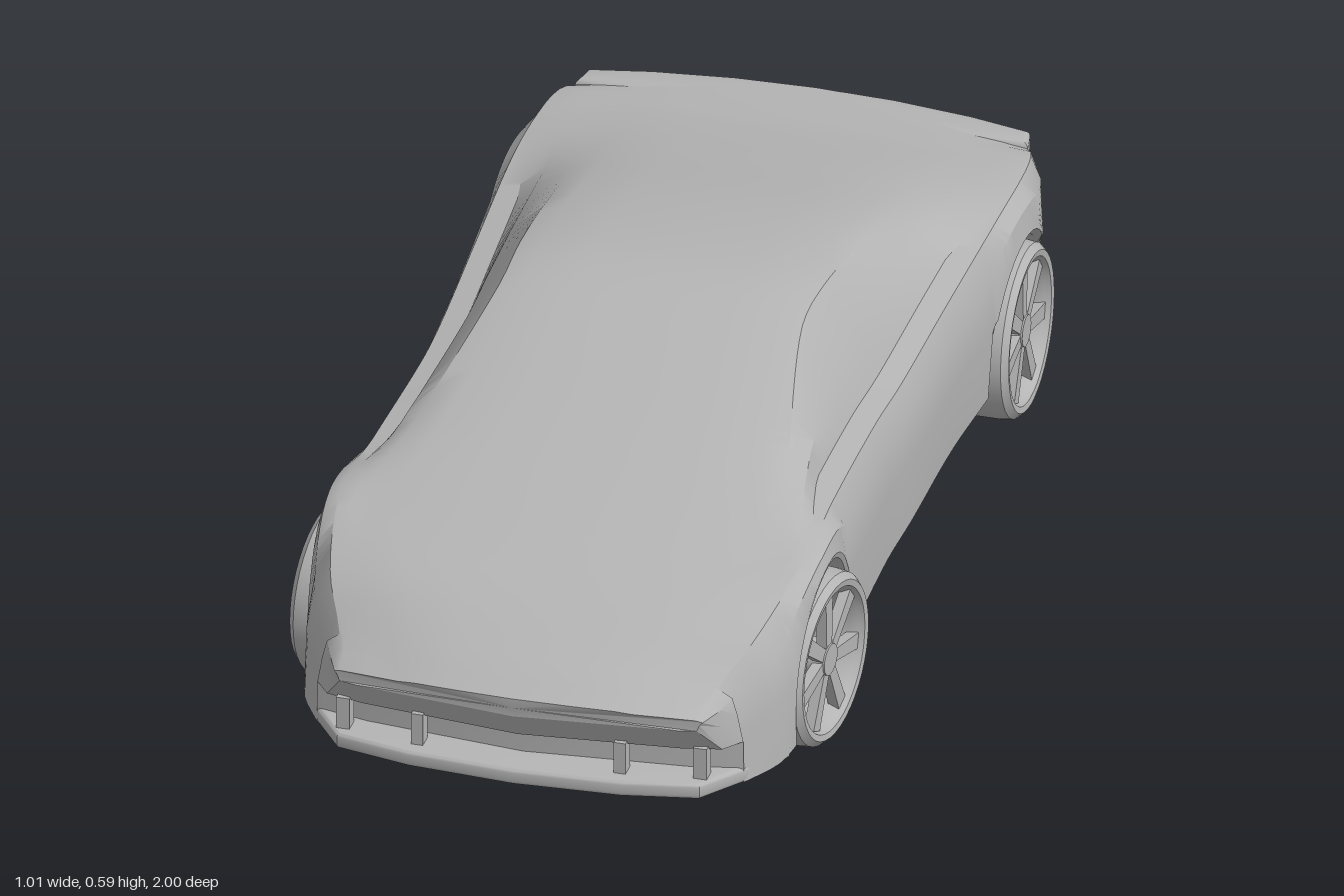
import * as THREE from 'three';
import { toCreasedNormals } from 'three/addons/utils/BufferGeometryUtils.js';

const grey = new THREE.MeshStandardMaterial({ color: 0xb4b4b4 });
grey.name = 'body grey';

const AXLES = [0.56, -0.665], WHEEL_R = 0.165, ARCH_R = 0.178, ARCH_Y = 0.168;

// z, floor y, sill x, side x, shoulder x, shoulder y, roof edge x, roof edge y, centre top y
const STATIONS = [
  [-0.965, 0.20, 0.40, 0.425, 0.42, 0.405, 0.34, 0.415, 0.42],
  [-0.90, 0.175, 0.43, 0.45, 0.435, 0.415, 0.33, 0.42, 0.425],
  [-0.80, 0.145, 0.465, 0.48, 0.45, 0.425, 0.32, 0.432, 0.438],
  [-0.60, 0.13, 0.475, 0.485, 0.452, 0.43, 0.305, 0.468, 0.485],
  [-0.30, 0.12, 0.455, 0.465, 0.44, 0.41, 0.295, 0.535, 0.56],
  [-0.05, 0.11, 0.45, 0.455, 0.43, 0.39, 0.285, 0.573, 0.593],
  [0.10, 0.105, 0.445, 0.45, 0.425, 0.39, 0.285, 0.56, 0.575],
  [0.40, 0.10, 0.455, 0.46, 0.43, 0.395, 0.345, 0.455, 0.475],
  [0.60, 0.09, 0.465, 0.468, 0.437, 0.39, 0.38, 0.395, 0.40],
  [0.80, 0.075, 0.45, 0.445, 0.40, 0.325, 0.30, 0.34, 0.348],
  [0.93, 0.07, 0.40, 0.39, 0.355, 0.265, 0.25, 0.28, 0.29],
  [1.00, 0.07, 0.335, 0.34, 0.335, 0.232, 0.22, 0.24, 0.247],
];

// Smooth interpolation of the station table
function stationAt(z) {
  const S = STATIONS, n = S.length;
  let i = 0;
  while (i < n - 2 && z > S[i + 1][0]) i++;
  const slope = (k, c) => {
    const a = S[Math.max(0, k - 1)], b = S[Math.min(n - 1, k + 1)];
    return (b[c] - a[c]) / (b[0] - a[0]);
  };
  const h = S[i + 1][0] - S[i][0], t = (z - S[i][0]) / h, t2 = t * t, t3 = t2 * t;
  return S[i].map((v, c) => (2 * t3 - 3 * t2 + 1) * v + (t3 - 2 * t2 + t) * h * slope(i, c)
    + (3 * t2 - 2 * t3) * S[i + 1][c] + (t3 - t2) * h * slope(i + 1, c));
}

// Closed cross-section, counter-clockwise seen from the front
function section(z) {
  let [, yb, xB, xM, xs, ys, xr, yr, yt] = stationAt(z);
  if (z > 0.93) yb = 0.155 + Math.max(0, z - 0.965) * 1.6; // nose overhangs the mouth
  let ya = yb;
  for (const c of AXLES) {
    const d = Math.abs(z - c);
    if (d < ARCH_R) ya = ARCH_Y + Math.sqrt(ARCH_R ** 2 - d * d);
  }
  const cabin = THREE.MathUtils.clamp((yr - ys) / 0.08, 0, 1);
  const xb = xs - 0.045 * cabin, yBelt = ys + 0.008 * cabin;
  const xin = Math.min(0.3, xB - 0.01), yM = Math.max(yb + 0.5 * (ys - yb), ya + 0.012);
  const half = [
    [0, yb], [xin, yb], [xin, ya], [xB, ya], [xM, yM],
    [(xM + xs) / 2 + 0.008, yM + 0.65 * (ys - yM)], [xs, ys], [xb, yBelt],
    [(xb + xr) / 2 + 0.012 * cabin, (yBelt + yr) / 2 + 0.006 * cabin], [xr, yr],
    [xr * 0.85, yr + 0.55 * (yt - yr)], [xr * 0.5, yr + 0.9 * (yt - yr)], [0, yt],
  ];
  const nose = THREE.MathUtils.smoothstep(z, 0.75, 0.97);
  const tail = 1 - THREE.MathUtils.smoothstep(z, -0.965, -0.86);
  const pts = half.map(([x, y], k) => {
    let zz = z - 0.04 * nose * (x / 0.34) ** 2 + 0.05 * tail * (x / 0.42) ** 2;
    if (k > 8) zz += 0.05 * (1 - (x / 0.38) ** 2) * Math.exp(-(((z - 0.61) / 0.13) ** 2)); // bowed screen base
    return [x, y, zz];
  });
  return [...pts, ...pts.slice(1, -1).reverse().map(([x, y, zz]) => [-x, y, zz])];
}

function bodyGeometry() {
  const zs = [0.929, 0.931, 0.965, 1];
  for (let z = -0.965; z < 0.99; z += 0.035) zs.push(z);
  for (const c of AXLES) {
    zs.push(c - ARCH_R - 0.001, c + ARCH_R + 0.001);
    for (let i = 0; i <= 18; i++) zs.push(c + ARCH_R * 0.9999 * Math.cos(i * Math.PI / 18));
  }
  zs.sort((a, b) => a - b);
  const rings = zs.map(section), n = rings[0].length, pos = [];
  const tri = (...p) => p.forEach(v => pos.push(...v));
  for (let i = 0; i < rings.length - 1; i++) {
    for (let j = 0; j < n; j++) {
      const k = (j + 1) % n, a = rings[i], b = rings[i + 1];
      tri(a[j], a[k], b[k]);
      tri(a[j], b[k], b[j]);
    }
  }
  // End caps
  const first = rings[0], last = rings[rings.length - 1];
  for (let j = 0; j < n; j++) {
    const k = (j + 1) % n;
    tri([0, 0.3, -0.965], first[k], first[j]);
    tri([0, 0.228, 1], last[j], last[k]);
  }
  const g = new THREE.BufferGeometry();
  g.setAttribute('position', new THREE.Float32BufferAttribute(pos, 3));
  return toCreasedNormals(g, 0.5);
}

function add(parent, name, geometry, x = 0, y = 0, z = 0) {
  const m = new THREE.Mesh(geometry, grey);
  m.name = name;
  m.position.set(x, y, z);
  parent.add(m);
  return m;
}

// Horizontal slab from a half outline of [x, z] points, mirrored in x
function slab(half, y0, y1, bevel = 0) {
  const pts = [...half, ...half.slice().reverse().map(([x, z]) => [-x, z])];
  const g = new THREE.ExtrudeGeometry(new THREE.Shape(pts.map(([x, z]) => new THREE.Vector2(x, -z))), {
    depth: y1 - y0 - 2 * bevel, bevelEnabled: bevel > 0, bevelSize: bevel,
    bevelOffset: -bevel, bevelThickness: bevel, bevelSegments: 3,
  });
  return toCreasedNormals(g.rotateX(-Math.PI / 2).translate(0, y0 + bevel, 0), 0.6);
}

// Wheel with its outer face towards +x
function wheel(name) {
  const w = new THREE.Group();
  w.name = name;
  const profile = [[0.125, -0.06], [0.15, -0.064], [0.162, -0.052], [0.165, -0.03], [0.165, 0.03], [0.162, 0.052],
    [0.15, 0.064], [0.138, 0.062], [0.134, 0.05], [0.125, 0.035], [0.125, -0.06]].map(p => new THREE.Vector2(...p));
  add(w, 'tyre and rim', toCreasedNormals(new THREE.LatheGeometry(profile, 40).rotateZ(-Math.PI / 2), 0.6));
  add(w, 'hub', new THREE.CylinderGeometry(0.03, 0.036, 0.04, 20).rotateZ(-Math.PI / 2), 0.035);
  add(w, 'brake disc', new THREE.CylinderGeometry(0.075, 0.075, 0.012, 28).rotateZ(-Math.PI / 2), -0.03);
  add(w, 'axle', new THREE.CylinderGeometry(0.022, 0.022, 0.1, 14).rotateZ(-Math.PI / 2), -0.01);
  for (let i = 0; i < 7; i++) {
    const g = new THREE.BoxGeometry(0.02, 0.11, 0.024).translate(0, 0.078, 0);
    const p = g.attributes.position;
    for (let k = 0; k < p.count; k++) if (p.getY(k) > 0.1) p.setZ(k, p.getZ(k) * 1.3);
    add(w, 'spoke', g, 0.042).rotation.x = i * 2 * Math.PI / 7;
  }
  return w;
}

export function createModel() {
  const car = new THREE.Group();
  car.name = 'sports car';
  add(car, 'body shell', bodyGeometry());

  // Front splitter and mouth struts
  add(car, 'front splitter', slab([[0, 1], [0.2, 0.988], [0.34, 0.96], [0.40, 0.88], [0.455, 0.77], [0.44, 0.745], [0, 0.745]], 0.068, 0.1, 0.008));
  for (const s of [1, -1]) {
    add(car, 'mouth strut', new THREE.BoxGeometry(0.022, 0.07, 0.03), s * 0.19, 0.128, 0.945);
    add(car, 'mouth end', new THREE.BoxGeometry(0.025, 0.07, 0.03), s * 0.335, 0.128, 0.925);
  }

  // Tail lip and rear bumper with a recess between them
  const tail = z => [[0, z], [0.15, z + 0.006], [0.3, z + 0.025], [0.415, z + 0.05], [0.425, -0.9], [0, -0.9]];
  add(car, 'tail lip', slab(tail(-1), 0.372, 0.42, 0.012));
  add(car, 'rear bumper', slab(tail(-0.992), 0.21, 0.305, 0.018));

  // Diffuser fins
  for (let i = 0; i < 8; i++) {
    const fin = new THREE.Shape([[0.76, 0.16], [0.8, 0.135], [0.92, 0.15], [0.955, 0.22], [0.85, 0.22]].map(p => new THREE.Vector2(...p)));
    const g = new THREE.ExtrudeGeometry(fin, { depth: 0.018, bevelEnabled: false });
    add(car, 'diffuser fin', g.translate(0, 0, -0.009).rotateY(Math.PI / 2), (i - 3.5) * 0.078, 0, 0);
  }

  // Wheels, front pair steered
  for (const s of [1, -1]) {
    AXLES.forEach((z, i) => {
      const w = wheel(i ? 'rear wheel' : 'front wheel');
      w.position.set(s * (i ? 0.435 : 0.42), WHEEL_R + (i ? 0.006 : 0), z);
      w.rotation.y = (s > 0 ? 0 : Math.PI) + (i ? 0 : -0.13);
      car.add(w);
    });
  }
  return car;
}
